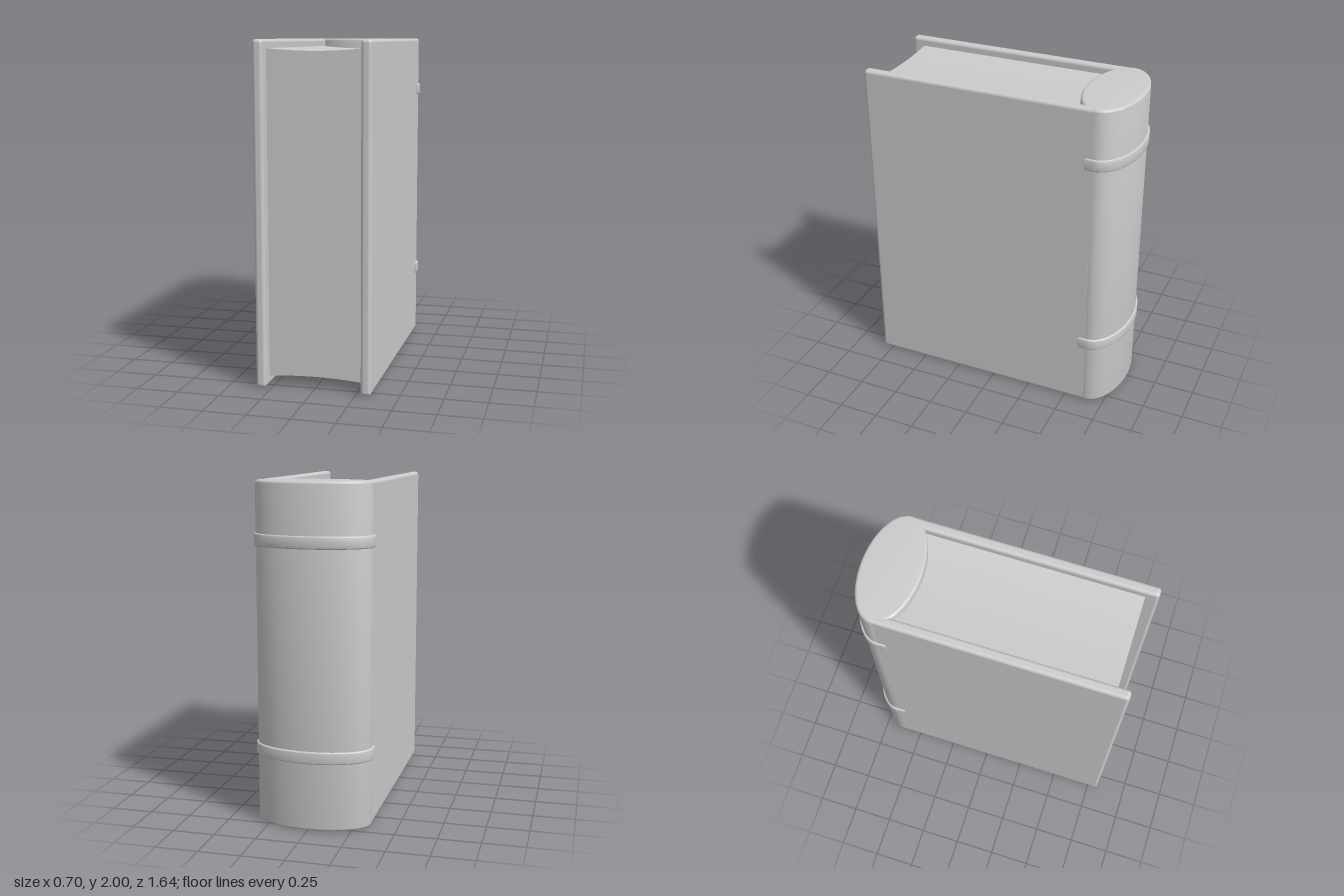
import * as THREE from 'three';
import { toCreasedNormals } from 'three/addons/utils/BufferGeometryUtils.js';
import { RoundedBoxGeometry } from 'three/addons/geometries/RoundedBoxGeometry.js';

const SPINE_Z = -0.635;

// Upright prism with rounded rims; shape y points to -z
function uprightPrism(shape, bottom, top, bevel, segments) {
  const geo = new THREE.ExtrudeGeometry(shape, {
    depth: top - bottom - 2 * bevel, steps: 1, curveSegments: 48,
    bevelEnabled: true, bevelThickness: bevel, bevelSize: bevel, bevelOffset: -bevel, bevelSegments: segments,
  });
  geo.rotateX(-Math.PI / 2);
  geo.translate(0, bottom + bevel, 0);
  return toCreasedNormals(geo, 0.7);
}

export function createModel() {
  const book = new THREE.Group();
  book.name = 'book';
  const grey = new THREE.MeshStandardMaterial({ color: 0xcccccc });
  grey.name = 'lightGrey';

  const add = (name, geo) => {
    const mesh = new THREE.Mesh(geo, grey);
    mesh.name = name;
    book.add(mesh);
    return mesh;
  };

  // Two cover boards with softly rounded edges
  for (const side of [1, -1]) {
    const cover = add(side > 0 ? 'leftCover' : 'rightCover', new RoundedBoxGeometry(0.06, 2, 1.455, 4, 0.02));
    cover.position.set(side * 0.31, 1, 0.0875);
  }

  // Page block, hollowed slightly along its top and bottom
  const page = new THREE.Shape();
  page.moveTo(-0.285, 0.05);
  page.quadraticCurveTo(0, 0.08, 0.285, 0.05);
  page.lineTo(0.285, 1.95);
  page.quadraticCurveTo(0, 1.92, -0.285, 1.95);
  page.closePath();
  const pages = new THREE.ExtrudeGeometry(page, { depth: 1.36, bevelEnabled: false, curveSegments: 20 });
  pages.translate(0, 0, -0.62);
  add('pages', toCreasedNormals(pages, 0.5));

  // Oval spine
  const oval = new THREE.Shape();
  oval.absellipse(0, -SPINE_Z, 0.34, 0.175, 0, Math.PI * 2, false, 0);
  add('spine', uprightPrism(oval, 0, 2, 0.015, 4));

  // Raised bands wrapping the back of the spine and gripping the covers
  const strap = new THREE.Shape();
  strap.moveTo(-0.348, 0.578);
  strap.lineTo(0.348, 0.578);
  strap.lineTo(0.351, -SPINE_Z);
  strap.absellipse(0, -SPINE_Z, 0.351, 0.187, 0, Math.PI, false, 0);
  strap.closePath();
  // Inner edge stays inside the spine and covers
  const inner = new THREE.Path();
  inner.moveTo(-0.31, 0.59);
  inner.lineTo(-0.31, -SPINE_Z);
  inner.absellipse(0, -SPINE_Z, 0.31, 0.145, Math.PI, 0, true, 0);
  inner.lineTo(0.31, 0.59);
  inner.closePath();
  strap.holes.push(inner);
  add('lowerBand', uprightPrism(strap, 0.403, 0.475, 0.008, 3));
  add('upperBand', uprightPrism(strap, 1.63, 1.702, 0.008, 3));

  return book;
}
